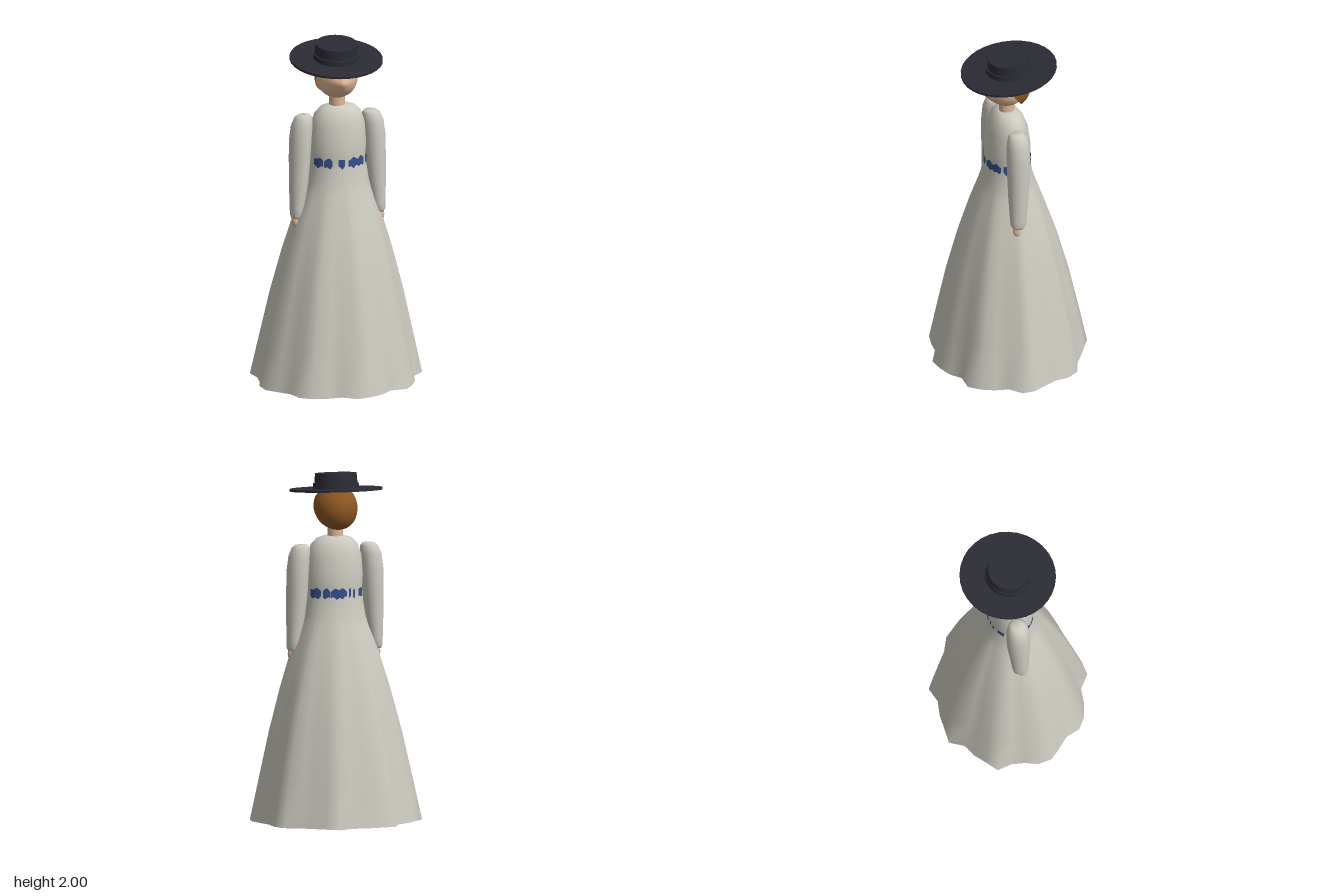
import * as THREE from 'three';

const material = (name, color, side = THREE.FrontSide) => {
  const m = new THREE.MeshStandardMaterial({ color, side });
  m.name = name;
  return m;
};

// Hem outline (x, z), anticlockwise from the front
const HEM = [
  [0, .435], [.078, .418], [.153, .388], [.21, .337], [.303, .335], [.353, .273],
  [.385, .205], [.40, .13], [.463, .07], [.465, 0], [.435, -.07], [.405, -.14],
  [.40, -.22], [.36, -.287], [.28, -.315], [.215, -.357], [.147, -.40], [.08, -.44],
  [0, -.405], [-.085, -.41], [-.16, -.40], [-.25, -.39], [-.285, -.31], [-.35, -.268],
  [-.40, -.215], [-.46, -.157], [-.44, -.075], [-.447, 0], [-.467, .07], [-.453, .148],
  [-.40, .20], [-.34, .253], [-.31, .33], [-.243, .37], [-.157, .385], [-.08, .385],
];

// Dress sections: height, half width, half depth, pleat strength
const DRESS = [
  [1.64, .03, .03, 0], [1.638, .06, .045, 0], [1.625, .1, .066, 0], [1.59, .132, .09, 0],
  [1.53, .152, .112, 0], [1.42, .159, .126, 0], [1.36, .155, .125, 0], [1.33, .155, .124, 0],
  [1.3, .157, .125, 0], [1.2, .172, .144, .1], [1.15, .184, .16, .2], [1, .235, .205, .5],
  [.8, .288, .262, .7], [.55, .345, .32, .85], [.3, .393, .367, .95], [.06, .44, .41, 1],
];

// Sleeve sections: height, centre x, centre z, half width, half depth
const SLEEVE = [
  [1.592, .19, .005, .002, .002], [1.59, .19, .005, .035, .035], [1.575, .194, .005, .05, .052],
  [1.53, .203, .005, .06, .062], [1.45, .211, .005, .062, .066], [1.35, .215, .006, .06, .064],
  [1.2, .222, .01, .053, .056], [1.06, .232, .013, .04, .047], [1.02, .236, .014, .035, .043],
  [1.002, .238, .015, .026, .032], [1, .238, .015, .002, .002],
];

const ellipseRadius = (t, a, b) => a * b / Math.hypot(b * Math.sin(t), a * Math.cos(t));

// Skins a stack of rings of points, listed from top to bottom
function loft(rings, closed = true) {
  const n = rings[0].length, index = [];
  for (let r = 0; r < rings.length - 1; r++) {
    for (let i = 0; i < (closed ? n : n - 1); i++) {
      const j = (i + 1) % n, a = r * n + i, d = r * n + j;
      index.push(a, a + n, d, a + n, d + n, d);
    }
  }
  const g = new THREE.BufferGeometry();
  g.setAttribute('position', new THREE.Float32BufferAttribute(rings.flat(2), 3));
  g.setIndex(index);
  g.computeVertexNormals();
  return g;
}

function dressGeometry() {
  return loft(DRESS.map(([y, a, b, w]) => HEM.map(([x, z]) => {
    const t = Math.atan2(x, z);
    const pleat = Math.hypot(x, z) / ellipseRadius(t, .44, .41);
    const r = ellipseRadius(t, a, b) * (1 + w * (pleat - 1));
    return [r * Math.sin(t), y, r * Math.cos(t)];
  })));
}

function sleeveGeometry(side) {
  return loft(SLEEVE.map(([y, cx, cz, rx, rz]) => Array.from({ length: 24 }, (_, i) => {
    const t = i / 24 * Math.PI * 2;
    return [side * cx + rx * Math.sin(t), y, cz + rz * Math.cos(t)];
  })));
}

// Irregular sash patch hugging the waist between two angles in degrees
function sashPatch(from, to) {
  const steps = Math.max(4, Math.round((to - from) / 3)), top = [], bottom = [];
  for (let i = 0; i <= steps; i++) {
    const u = i / steps, deg = from + (to - from) * u, t = deg * Math.PI / 180;
    const r = ellipseRadius(t, .16, .129);
    const h = .027 * Math.pow(Math.sin(Math.PI * (.12 + .76 * u)), .5);
    const x = r * Math.sin(t), z = r * Math.cos(t);
    top.push([x, 1.33 + h + .005 * Math.sin(deg * .31), z]);
    bottom.push([x, 1.33 - h + .006 * Math.sin(deg * .43), z]);
  }
  return loft([top, bottom], false);
}

// Egg-shaped head with the face drawn forward into a wedge
function headGeometry() {
  const g = new THREE.SphereGeometry(1, 40, 30).scale(.115, .118, .115);
  const p = g.attributes.position;
  for (let i = 0; i < p.count; i++) {
    if (p.getZ(i) <= 0) continue;
    const push = Math.max(0, 1 - Math.abs(p.getX(i)) / .085) * Math.max(0, 1 - Math.abs(p.getY(i)) / .1);
    p.setZ(i, p.getZ(i) + .042 * push);
  }
  g.computeVertexNormals();
  return g;
}

export function createModel() {
  const model = new THREE.Group();
  model.name = 'womanInHat';
  const cloth = material('pale cloth', 0xcccabf, THREE.DoubleSide);
  const blue = material('sash blue', 0x37508c, THREE.DoubleSide);
  const skin = material('skin', 0xe0b896);
  const brown = material('hair brown', 0x8c5722, THREE.DoubleSide);
  const dark = material('dark felt', 0x2b2b35);

  const add = (name, geometry, mat, x = 0, y = 0, z = 0, parent = model) => {
    const mesh = new THREE.Mesh(geometry, mat);
    mesh.name = name;
    mesh.position.set(x, y, z);
    parent.add(mesh);
    return mesh;
  };
  const ellipsoid = (rx, ry, rz) => new THREE.SphereGeometry(1, 24, 16).scale(rx, ry, rz);

  // Dress and sash
  add('dress', dressGeometry(), cloth);
  const sash = new THREE.Group();
  sash.name = 'sash';
  model.add(sash);
  const patches = [[-73, -50], [-48, -28], [-14, 3], [11, 40], [37, 58], [64, 80], [108, 135],
    [139, 155], [157, 198], [203, 209], [215, 221], [231, 247]];
  for (const [from, to] of patches) add('sashPatch', sashPatch(from, to), blue, 0, 0, 0, sash);

  // Arms, legs and shoes
  for (const side of [1, -1]) {
    const label = side > 0 ? 'left' : 'right';
    add(label + 'Sleeve', sleeveGeometry(side), cloth, -.005);
    add(label + 'Hand', ellipsoid(.021, .035, .022), skin, side * .242 - .005, .982, .025);
    add(label + 'Leg', new THREE.CylinderGeometry(.05, .04, .8, 20), dark, side * .093 - .006, .45, 0);
    add(label + 'Shoe', ellipsoid(.048, .052, .106), dark, side * .093 - .006, .052, .035);
  }

  // Neck, head and hair
  add('neck', new THREE.CylinderGeometry(.043, .043, .12, 24), skin, -.005, 1.665, 0);
  add('head', headGeometry(), skin, -.005, 1.797, 0);
  const hairShape = new THREE.SphereGeometry(.136, 32, 16, 0, Math.PI * 2, 0, Math.PI / 2).scale(.9, 1, 1);
  add('hair', hairShape, brown, -.005, 1.79, 0).rotation.x = -.955;

  // Hat, tipped towards the face
  const hat = new THREE.Group();
  hat.name = 'hat';
  hat.position.set(-.006, 1.897, -.013);
  hat.rotation.x = .1;
  model.add(hat);
  add('brim', new THREE.CylinderGeometry(.257, .257, .012, 32), dark, 0, 0, 0, hat).scale.z = 1.04;
  add('hatBand', new THREE.CylinderGeometry(.126, .128, .03, 32), dark, 0, .02, 0, hat);
  add('crown', new THREE.CylinderGeometry(.115, .121, .084, 32), dark, 0, .048, -.004, hat);
  return model;
}
